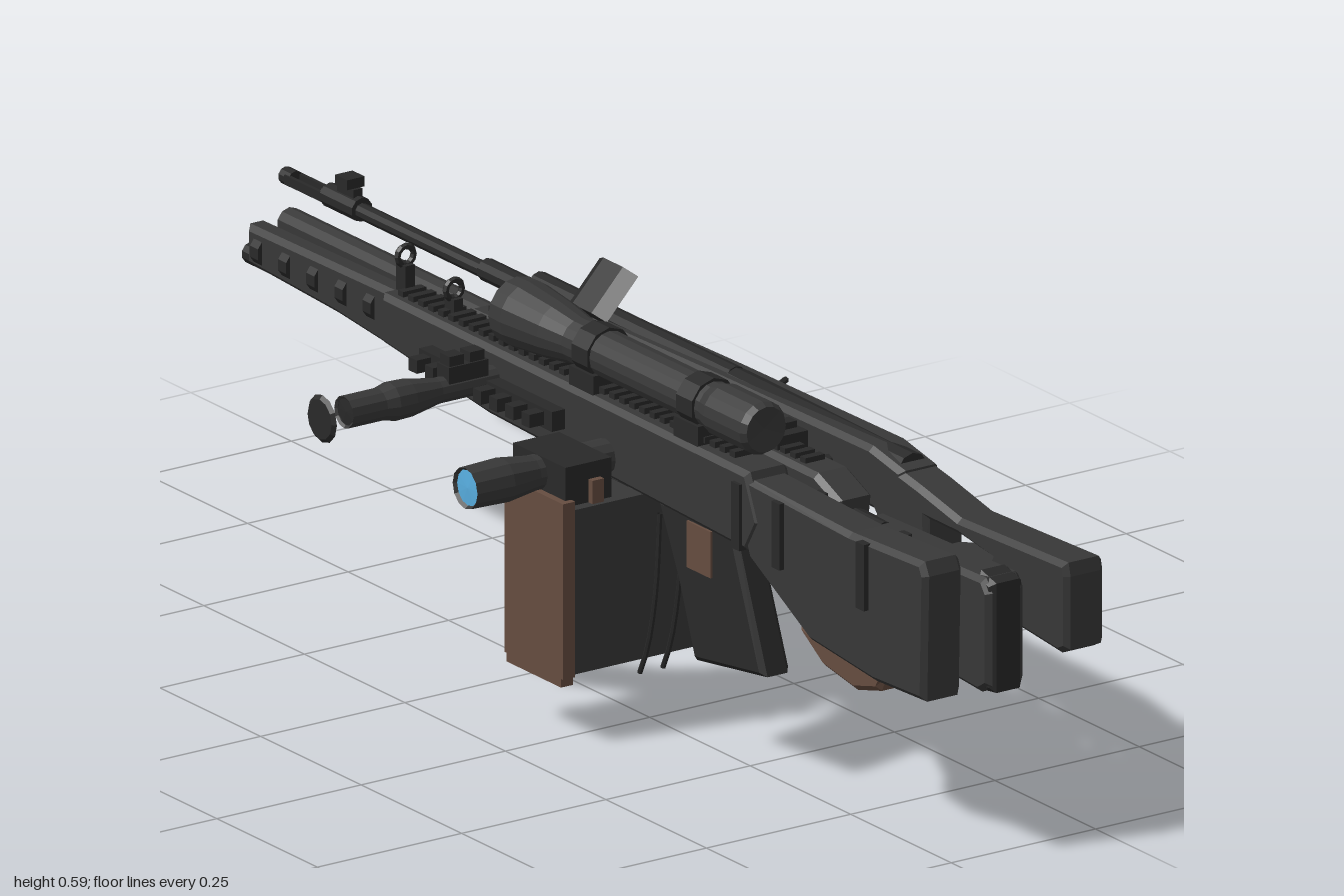
import * as THREE from 'three';

const mat = (name, color) => {
  const m = new THREE.MeshStandardMaterial({ color, side: THREE.DoubleSide, flatShading: true });
  m.name = name;
  return m;
};

export function createModel() {
  const root = new THREE.Group();
  root.name = 'rifleRack';
  const grey = mat('gunmetal', 0x383838);
  const dark = mat('blackSteel', 0x292929);
  const brown = mat('brownWood', 0x664d40);
  const blue = mat('lensBlue', 0x58aee0);

  const add = (parent, name, geo, m) => {
    const mesh = new THREE.Mesh(geo, m);
    mesh.name = name;
    parent.add(mesh);
    return mesh;
  };
  const group = (name, x = 0) => {
    const g = new THREE.Group();
    g.name = name;
    g.position.x = x;
    root.add(g);
    return g;
  };
  // Box given by its ranges on each axis
  const box = (p, name, [x0, x1], [y0, y1], [z0, z1], m = grey) => {
    const geo = new THREE.BoxGeometry(x1 - x0, y1 - y0, z1 - z0);
    geo.translate((x0 + x1) / 2, (y0 + y1) / 2, (z0 + z1) / 2);
    return add(p, name, geo, m);
  };
  // Side profile of [z, y] points, given a width across x and a chamfer
  const profile = (p, name, pts, width, m = grey, hole = null, x = 0, bevel = 0.008) => {
    const shape = new THREE.Shape(pts.map(([z, y]) => new THREE.Vector2(z, y)));
    if (hole) shape.holes.push(new THREE.Path(hole.map(([z, y]) => new THREE.Vector2(z, y))));
    const geo = new THREE.ExtrudeGeometry(shape, {
      depth: width - 2 * bevel, bevelEnabled: bevel > 0, bevelSize: bevel, bevelOffset: -bevel,
      bevelThickness: bevel, bevelSegments: 1,
    });
    geo.translate(0, 0, -(width - 2 * bevel) / 2);
    geo.rotateY(-Math.PI / 2);
    geo.translate(x, 0, 0);
    return add(p, name, geo, m);
  };
  // Turned part of [position, radius] points along the z or x axis
  const turned = (p, name, axis, pts, pos, m = grey, sides = 12) => {
    const geo = new THREE.LatheGeometry(pts.map(([a, r]) => new THREE.Vector2(r, a)), sides);
    if (axis === 'z') geo.rotateX(Math.PI / 2);
    else geo.rotateZ(-Math.PI / 2);
    geo.translate(...pos);
    return add(p, name, geo, m);
  };
  const rod = (p, name, z0, z1, r, y, x = 0, m = dark) =>
    turned(p, name, 'z', [[z0, 0], [z0, r], [z1, r], [z1, 0]], [x, y, 0], m, 10);
  const teeth = (p, x, y, z0, z1, w) => {
    for (let z = z0; z < z1; z += 0.025) box(p, 'railTooth', [x - w, x + w], [y, y + 0.009], [z, z + 0.013], dark);
  };

  // Rifle with the large scope and curved magazine
  const a = group('scopedRifle', -0.005);
  profile(a, 'stock', [[0.5, 0.46], [0.8, 0.452], [0.98, 0.46], [0.99, 0.44], [0.985, 0.25], [0.86, 0.245], [0.7, 0.26], [0.55, 0.34]], 0.068);
  profile(a, 'stockCheek', [[0.66, 0.27], [0.7, 0.27], [0.87, 0.25], [0.86, 0.228], [0.8, 0.212], [0.72, 0.225]], 0.05, brown);
  profile(a, 'receiver', [[-0.36, 0.40], [-0.1, 0.37], [0.55, 0.35], [0.58, 0.4], [0.55, 0.47], [-0.36, 0.475]], 0.074);
  profile(a, 'grip', [[0.31, 0.36], [0.36, 0.25], [0.4, 0.14], [0.575, 0.165], [0.5, 0.36]], 0.05, dark);
  box(a, 'gripPanel', [-0.029, 0.029], [0.28, 0.35], [0.39, 0.45], brown);
  profile(a, 'magazine', [[0.24, 0.36], [0.22, 0.22], [0.15, 0.1], [0.05, 0.005], [0, 0.09], [0.075, 0.19], [0.11, 0.36]], 0.03, dark, null, -0.008, 0.004);
  profile(a, 'handguard', [[-0.72, 0.41], [-0.5, 0.40], [-0.34, 0.385], [-0.34, 0.475], [-0.72, 0.47]], 0.038);
  rod(a, 'muzzle', -0.735, -0.6, 0.016, 0.42);
  for (let z = -0.7; z < -0.38; z += 0.07) rod(a, 'barrelRing', z, z + 0.02, 0.027, 0.437);
  for (const z of [0.52, 0.62, 0.83]) box(a, 'stockBand', [-0.042, 0.042], [0.35, 0.45], [z, z + 0.02], dark);
  teeth(a, 0, 0.474, -0.34, 0.5, 0.02);
  const sideRail = box(a, 'sideRail', [-0.06, -0.03], [0.405, 0.435], [-0.23, 0.1], dark);
  sideRail.name = 'sideRail';
  for (let z = -0.22; z < 0.08; z += 0.04) box(a, 'sideRailTooth', [-0.085, -0.058], [0.41, 0.43], [z, z + 0.02], dark);
  // Iron sights
  for (const [z, y] of [[-0.35, 0.528], [-0.23, 0.512]]) {
    box(a, 'sightPost', [-0.008, 0.008], [0.47, y - 0.012], [z - 0.012, z + 0.012], dark);
    const ring = new THREE.TorusGeometry(0.014, 0.005, 6, 12);
    add(a, 'sightRing', ring, dark).position.set(0, y, z);
  }
  // Trigger guard wires
  for (const x of [-0.026, 0.014]) {
    const curve = new THREE.CatmullRomCurve3([[0.32, 0.34], [0.31, 0.22], [0.29, 0.13], [0.27, 0.085]].map(([z, y]) => new THREE.Vector3(x, y, z)));
    add(a, 'guardWire', new THREE.TubeGeometry(curve, 8, 0.004, 6), dark);
  }

  // Large scope above the first rifle
  const scope = group('largeScope', 0);
  turned(scope, 'scopeTube', 'z', [[-0.07, 0.044], [-0.08, 0.05], [-0.05, 0.051], [0.03, 0.043], [0.08, 0.035], [0.42, 0.035], [0.44, 0.04], [0.53, 0.04], [0.54, 0.034], [0.535, 0]], [0, 0.524, 0], grey, 16);
  turned(scope, 'frontLens', 'z', [[-0.078, 0], [-0.075, 0.046], [-0.072, 0]], [0, 0.524, 0], blue, 16);
  for (const z of [0.1, 0.36]) {
    box(scope, 'scopeMount', [-0.035, 0.04], [0.45, 0.5], [z, z + 0.06], dark);
    rod(scope, 'scopeRing', z + 0.01, z + 0.05, 0.04, 0.524);
  }

  // Middle rifle with the heavy barrel
  const b = group('heavyBarrelRifle', 0.107);
  profile(b, 'stock', [[0.64, 0.40], [0.97, 0.41], [0.985, 0.39], [0.985, 0.25], [0.96, 0.235], [0.88, 0.24], [0.72, 0.3], [0.64, 0.35]], 0.066, grey);
  profile(b, 'stockPad', [[0.95, 0.415], [0.988, 0.405], [0.988, 0.24], [0.95, 0.235]], 0.056, dark);
  rod(b, 'stockTube', 0.55, 0.68, 0.024, 0.38);
  profile(b, 'receiver', [[0.18, 0.36], [0.6, 0.35], [0.61, 0.42], [0.55, 0.445], [0.18, 0.445]], 0.062);
  profile(b, 'grip', [[0.44, 0.37], [0.5, 0.25], [0.58, 0.24], [0.54, 0.37]], 0.042, dark);
  profile(b, 'handguard', [[-0.3, 0.385], [0.2, 0.36], [0.2, 0.45], [-0.3, 0.445]], 0.072);
  rod(b, 'barrel', -0.8, -0.28, 0.021, 0.425, 0, grey);
  teeth(b, 0, 0.444, -0.28, 0.5, 0.017);
  box(b, 'rearSight', [-0.018, 0.035], [0.44, 0.465], [0.38, 0.44], dark);
  box(b, 'rearSightBlade', [-0.012, 0.03], [0.46, 0.475], [0.4, 0.42], dark);
  turned(b, 'chargingHandle', 'x', [[0.02, 0], [0.02, 0.006], [0.06, 0.006], [0.06, 0.013], [0.078, 0.013], [0.078, 0]], [0, 0.405, 0.43], dark, 8);
  // Folded support frame
  for (const y of [0.313, 0.343]) box(b, 'supportRail', [-0.02, 0.02], [y - 0.004, y + 0.004], [-0.11, 0.11], dark);
  box(b, 'supportEnd', [-0.02, 0.02], [0.31, 0.38], [-0.115, -0.105], dark);
  box(b, 'supportPost', [-0.015, 0.015], [0.31, 0.38], [0.1, 0.12], dark);

  // Outer rifle with the long thin barrel
  const c = group('longRifle', 0.24);
  profile(c, 'stock', [[0.56, 0.43], [0.62, 0.42], [0.72, 0.4], [0.985, 0.41], [0.99, 0.39], [0.99, 0.28], [0.97, 0.27], [0.8, 0.285], [0.7, 0.31], [0.62, 0.285], [0.56, 0.29], [0.5, 0.36]], 0.068, grey,
    [[0.64, 0.375], [0.64, 0.33], [0.7, 0.345], [0.78, 0.33], [0.8, 0.365], [0.72, 0.375]]);
  profile(c, 'receiver', [[-0.36, 0.38], [0.1, 0.36], [0.58, 0.35], [0.58, 0.43], [0.5, 0.445], [0.1, 0.44], [-0.36, 0.43]], 0.068);
  rod(c, 'receiverCover', 0.12, 0.56, 0.026, 0.42, 0);
  rod(c, 'gasTube', -0.37, 0.12, 0.018, 0.43);
  rod(c, 'barrel', -0.9, -0.34, 0.012, 0.41);
  rod(c, 'barrelSleeve', -0.5, -0.35, 0.017, 0.413);
  // Front sight and slotted muzzle
  rod(c, 'sightCollar', -0.89, -0.81, 0.018, 0.412);
  box(c, 'sightBase', [-0.008, 0.008], [0.41, 0.44], [-0.86, -0.82], dark);
  box(c, 'sightHood', [-0.015, 0.015], [0.44, 0.455], [-0.855, -0.825], dark);
  for (const s of [-1, 1]) box(c, 'muzzleProng', [s * 0.01 - 0.003, s * 0.01 + 0.003], [0.402, 0.416], [-0.985, -0.89], dark);
  rod(c, 'muzzleCap', -1, -0.975, 0.013, 0.409);
  // Bolt handle and side knobs
  const bolt = new THREE.CatmullRomCurve3([[0.02, 0.14], [0.055, 0.135], [0.09, 0.115]].map(([x, z]) => new THREE.Vector3(x, 0.408, z)));
  add(c, 'boltHandle', new THREE.TubeGeometry(bolt, 8, 0.005, 6), dark);
  for (const z of [0.3, 0.48]) turned(c, 'sideKnob', 'x', [[0.02, 0.014], [0.05, 0.014], [0.058, 0.008], [0.058, 0]], [0, 0.385, z], dark, 10);

  // Small scope set crosswise
  const upper = group('crossScopeUpper');
  turned(upper, 'crossTube', 'x', [[-0.297, 0.02], [-0.3, 0.024], [-0.24, 0.024], [-0.22, 0.029], [-0.19, 0.028], [-0.14, 0.019], [0.03, 0.019], [0.06, 0.025], [0.15, 0.025], [0.148, 0]], [0, 0.43, -0.08], grey);
  turned(upper, 'crossLens', 'x', [[-0.296, 0], [-0.294, 0.022], [-0.292, 0]], [0, 0.43, -0.08], dark);
  box(upper, 'turretBase', [-0.128, -0.06], [0.44, 0.466], [-0.095, -0.065], dark);
  for (const x of [-0.125, -0.09]) box(upper, 'turretKnob', [x, x + 0.025], [0.455, 0.481], [-0.092, -0.068], dark);
  turned(upper, 'looseLensCap', 'x', [[-0.342, 0], [-0.342, 0.03], [-0.337, 0.036], [-0.334, 0.03], [-0.335, 0]], [0, 0.428, -0.08], dark);

  // Wider scope set crosswise
  const lower = group('crossScopeLower');
  turned(lower, 'crossTube', 'x', [[-0.28, 0.027], [-0.285, 0.031], [-0.22, 0.033], [-0.17, 0.026], [0.15, 0.026], [0.2, 0.036], [0.24, 0.041], [0.28, 0.038], [0.282, 0.03]], [0, 0.394, 0.2], grey);
  for (const x of [-0.279, 0.284]) turned(lower, 'crossLens', 'x', [[x - 0.002, 0], [x, 0.03], [x + 0.002, 0]], [0, 0.394, 0.2], blue);
  box(lower, 'crossMount', [-0.16, -0.08], [0.36, 0.42], [0.14, 0.27], dark);
  box(lower, 'mountClamp', [-0.12, -0.1], [0.36, 0.395], [0.135, 0.28], brown);

  // Ammunition box with a chamfered corner and a wooden end
  const ammo = group('ammunitionBox');
  const outline = [[-0.15, 0.107], [0.17, 0.107], [0.17, 0.258], [0.162, 0.27], [0.14, 0.285], [0.13, 0.355], [-0.15, 0.355]];
  const body = new THREE.ExtrudeGeometry(new THREE.Shape(outline.map(([x, y]) => new THREE.Vector2(x, y))), { depth: 0.135, bevelEnabled: false });
  body.translate(0, 0, 0.14);
  add(ammo, 'boxBody', body, grey);
  box(ammo, 'boxEnd', [-0.171, -0.15], [0.105, 0.37], [0.135, 0.28], brown);
  box(ammo, 'boxEndFoot', [-0.171, -0.15], [0.092, 0.105], [0.14, 0.275], brown);
  box(ammo, 'boxLatch', [0.035, 0.055], [0.35, 0.36], [0.18, 0.24], brown);

  // Loose flip-up cover
  const cover = add(root, 'looseCover', new THREE.CylinderGeometry(0.016, 0.016, 0.08, 6), dark);
  cover.position.set(0.101, 0.553, -0.01);
  cover.rotation.z = -0.75;
  cover.scale.z = 3;

  return root;
}
